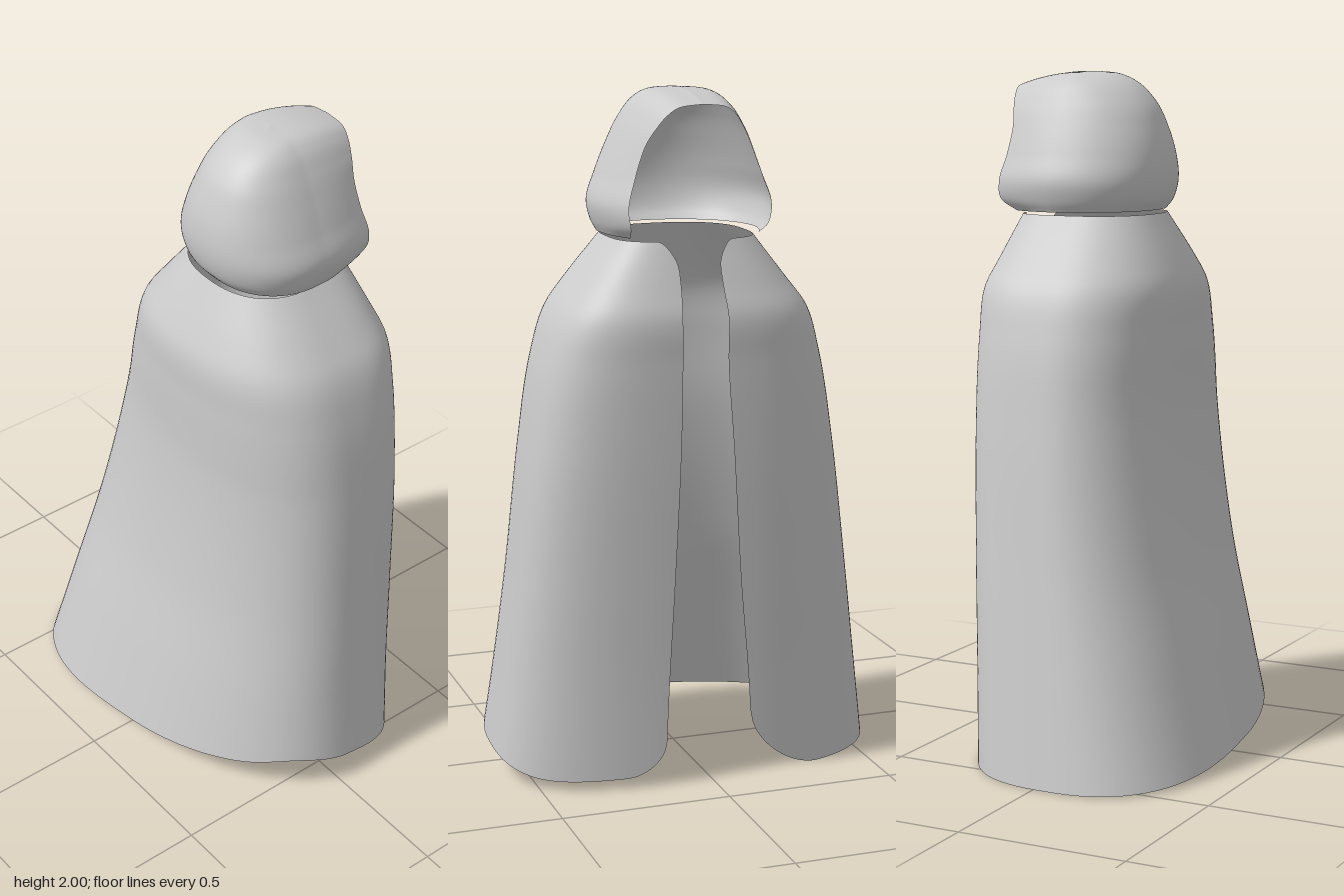
import * as THREE from 'three';

const material = new THREE.MeshStandardMaterial({ color: 0xcccccc, side: THREE.DoubleSide });

// Smooth curve through [position, ...values] keys.
function profile(keys) {
  const size = keys[0].length - 1;
  const curve = new THREE.CubicInterpolant(keys.map(k => k[0]), keys.flatMap(k => k.slice(1)), size);
  const first = keys[0][0], last = keys[keys.length - 1][0];
  return t => Array.from(curve.evaluate(THREE.MathUtils.clamp(t, first, last)));
}

// Open sheet from point(u, v): u runs right to left round the front, v runs upward.
function sheet(name, nu, nv, point) {
  const positions = [], indices = [];
  for (let j = 0; j <= nv; j++)
    for (let i = 0; i <= nu; i++) positions.push(...point(i / nu, j / nv));
  for (let j = 0; j < nv; j++)
    for (let i = 0; i < nu; i++) {
      const a = j * (nu + 1) + i, b = a + 1, c = b + nu + 1, d = a + nu + 1;
      indices.push(a, b, c, a, c, d);
    }
  const geometry = new THREE.BufferGeometry();
  geometry.setAttribute('position', new THREE.Float32BufferAttribute(positions, 3));
  geometry.setIndex(indices);
  geometry.computeVertexNormals();
  const mesh = new THREE.Mesh(geometry, material);
  mesh.name = name;
  return mesh;
}

// Rounded oval: angle 0 is the back, a quarter turn is the right side.
function oval(angle, front, back) {
  const s = Math.sin(angle), c = Math.cos(angle), n = c > 0 ? back : front;
  return [-Math.sign(s) * Math.abs(s) ** (2 / n), -Math.sign(c) * Math.abs(c) ** (2 / n)];
}

// Height of a rounded corner at distance d from the edge.
function corner(d, width, height) {
  const k = Math.max(0, 1 - d / width);
  return height * (1 - Math.sqrt(1 - k * k));
}

function createCape() {
  // y: right x, left x, front z, back z, right and left edge of the back slit
  const section = profile([
    [0, -0.598, 0.604, 0.395, -0.355, -0.13, 0.145],
    [0.3, -0.545, 0.565, 0.32, -0.362, -0.11, 0.135],
    [0.6, -0.492, 0.533, 0.246, -0.373, -0.08, 0.122],
    [1.0, -0.423, 0.493, 0.186, -0.388, -0.05, 0.108],
    [1.25, -0.372, 0.452, 0.177, -0.393, -0.03, 0.105],
    [1.38, -0.328, 0.408, 0.169, -0.391, -0.03, 0.105],
    [1.45, -0.275, 0.358, 0.14, -0.366, -0.025, 0.1],
    [1.585, -0.17, 0.25, 0.07, -0.315, -0.02, 0.1],
  ]);
  const hem = profile([[0, 0], [0.15, 0], [0.3, 0.003], [0.4, 0.016], [0.5, 0.046], [0.62, 0.095],
    [0.69, 0.12], [0.78, 0.075], [0.88, 0.03], [1, 0.032]]);
  return sheet('cape', 140, 70, (u, v) => {
    // Columns are packed closer at the slit edges
    const f = u - 0.85 * Math.sin(2 * Math.PI * u) / (2 * Math.PI);
    const low = Math.max(0, hem(f)[0]) + corner(f, 0.065, 0.2) + corner(1 - f, 0.03, 0.1);
    const high = 1.585 - corner(f, 0.04, 0.08) - corner(1 - f, 0.04, 0.08);
    const y = low + (high - low) * v;
    const [x0, x1, zf, zb, slit0, slit1] = section(y);
    const cx = (x0 + x1) / 2, a = (x1 - x0) / 2, cz = (zf + zb) / 2, b = (zf - zb) / 2;
    // The back is squarer than the front, most of all at the shoulders
    const back = 2.75 + 0.45 * y;
    const slitAngle = x => {
      const k = (cx - x) / a;
      return Math.sign(k) * Math.asin(Math.abs(k) ** (back / 2));
    };
    const start = slitAngle(slit0), end = 2 * Math.PI + slitAngle(slit1);
    const [ox, oz] = oval(start + (end - start) * f, 2.4, back);
    const x = cx + a * ox;
    // The hem swings forward on the right side
    const swing = 0.11 * Math.max(0, 1 - y / 1.1) * (0.6 + 0.4 * oz);
    return [x, y, cz + b * oz - swing * x];
  });
}

function createHood() {
  // step: y, half width, front z, z of the face opening
  const section = profile([
    [0, 1.595, 0.228, 0.062, -0.29],
    [0.08, 1.625, 0.243, 0.085, -0.335],
    [0.2, 1.68, 0.253, 0.1, -0.34],
    [0.38, 1.76, 0.226, 0.098, -0.325],
    [0.55, 1.84, 0.193, 0.077, -0.32],
    [0.7, 1.91, 0.159, 0.044, -0.333],
    [0.83, 1.967, 0.12, -0.012, -0.345],
    [0.92, 1.993, 0.077, -0.07, -0.352],
    [1, 2.0, 0, -0.13, -0.354],
  ]);
  const mid = -0.15, side = 0.22;
  return sheet('hood', 100, 60, (u, v) => {
    const [y, a, zf, ze] = section(v);
    if (u > side && u < 1 - side) {
      // Rounded front
      const t = (u - side) / (1 - 2 * side);
      const [ox, oz] = oval(Math.PI / 2 + Math.PI * t, 2.2, 2.2);
      return [0.035 + a * ox + 0.02 * oz, y, mid + (zf - mid) * oz];
    }
    // Sides reach to the opening, drawing in and dipping at the crown
    const left = u > 0.5, k = 1 - (left ? 1 - u : u) / side;
    const z = mid + (ze - mid) * (1 - (left ? 1 - u : u) / side);
    const dip = 0.035 * THREE.MathUtils.smoothstep(y, 1.83, 2.0) * k * k;
    return [0.035 + (left ? 1 : -1) * a * (1 - 0.17 * k * k), y - dip, z];
  });
}

export function createModel() {
  const group = new THREE.Group();
  group.name = 'hoodedCape';
  group.add(createCape(), createHood());
  return group;
}
